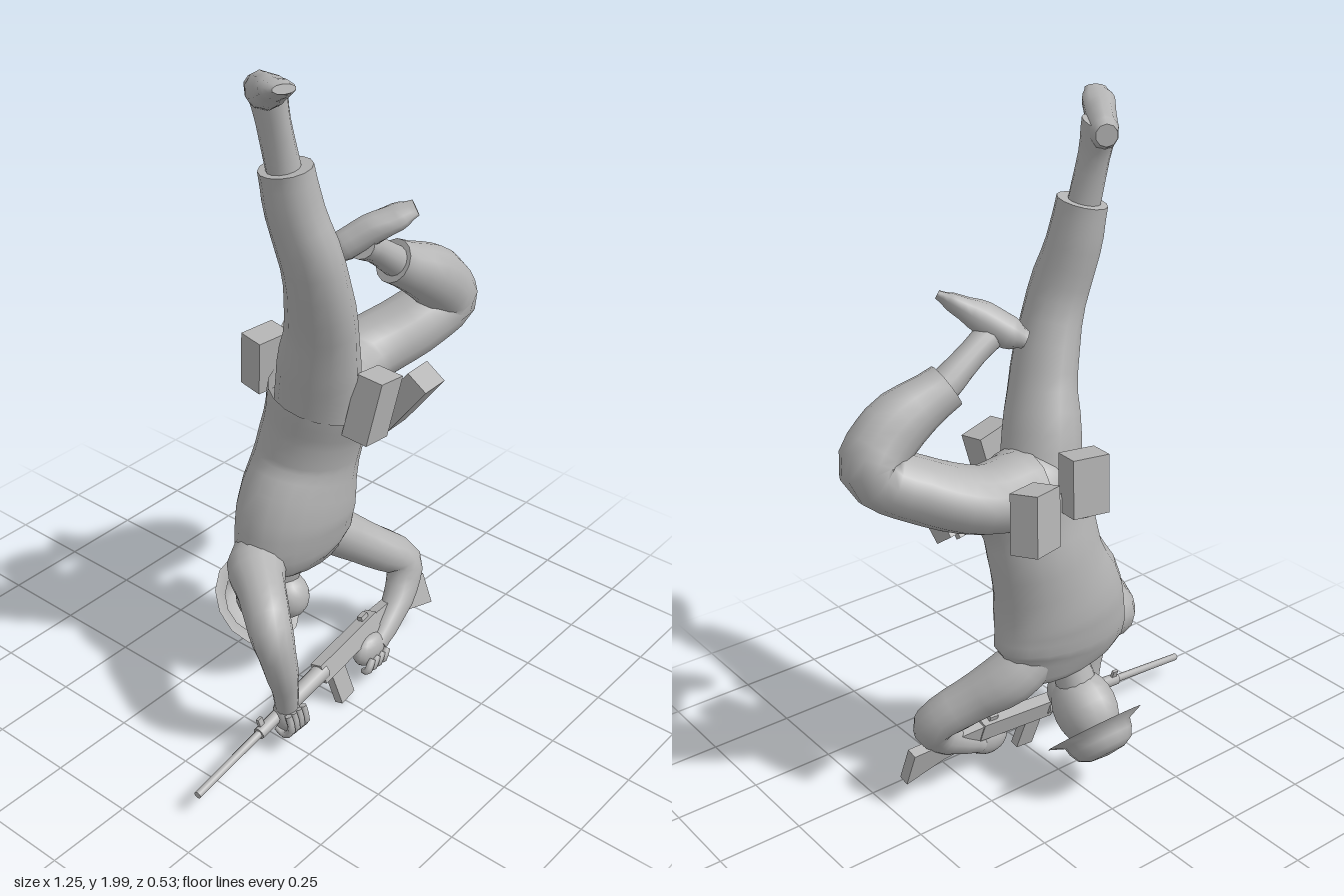
import * as THREE from 'three';

const grey = new THREE.MeshStandardMaterial({ color: 0xb4b4b4 });
grey.name = 'plain grey';
const shell = new THREE.MeshStandardMaterial({ color: 0xb4b4b4, side: THREE.DoubleSide });
shell.name = 'plain grey shell';
const V = (x, y, z) => new THREE.Vector3(x, y, z);

function add(parent, name, geometry, material = grey) {
  const mesh = new THREE.Mesh(geometry, material);
  mesh.name = name;
  parent.add(mesh);
  return mesh;
}

// Skin over elliptical sections [x, y, z, radius along ref, radius across]
function loft(sections, ref, { sides = 14, steps = 3, caps = [true, true] } = {}) {
  const curve = new THREE.CatmullRomCurve3(sections.map(s => V(s[0], s[1], s[2])), false, 'centripetal');
  const rings = (sections.length - 1) * steps;
  const pos = [], index = [];
  for (let i = 0; i <= rings; i++) {
    const t = i / rings, f = t * (sections.length - 1);
    const k = Math.min(Math.floor(f), sections.length - 2), w = f - k;
    const s = w * w * (3 - 2 * w);
    const radius = n => {
      const get = q => q[n] ?? q[3];
      return THREE.MathUtils.lerp(get(sections[k]), get(sections[k + 1]), s);
    };
    const c = curve.getPoint(t), T = curve.getTangent(t);
    const U = ref.clone().addScaledVector(T, -ref.dot(T)).normalize();
    const W = T.clone().cross(U);
    for (let j = 0; j < sides; j++) {
      const a = j / sides * Math.PI * 2;
      const p = c.clone().addScaledVector(U, Math.cos(a) * radius(3)).addScaledVector(W, Math.sin(a) * radius(4));
      pos.push(p.x, p.y, p.z);
    }
  }
  for (let i = 0; i < rings; i++) for (let j = 0; j < sides; j++) {
    const a = i * sides + j, b = i * sides + (j + 1) % sides;
    index.push(a, b, b + sides, a, b + sides, a + sides);
  }
  // Caps use their own vertices so the cut ends stay sharp
  caps.forEach((on, end) => {
    if (!on) return;
    const from = end ? rings * sides : 0, base = pos.length / 3;
    for (let j = 0; j < sides * 3; j++) pos.push(pos[from * 3 + j]);
    for (let j = 1; j < sides - 1; j++) {
      index.push(base, base + (end ? j : j + 1), base + (end ? j + 1 : j));
    }
  });
  const g = new THREE.BufferGeometry();
  g.setAttribute('position', new THREE.Float32BufferAttribute(pos, 3));
  g.setIndex(index);
  g.computeVertexNormals();
  return g;
}

function box(parent, name, size, at, rot = [0, 0, 0]) {
  const m = add(parent, name, new THREE.BoxGeometry(...size));
  m.position.set(...at);
  m.rotation.set(...rot);
  return m;
}

function ball(parent, name, at, scale) {
  const m = add(parent, name, new THREE.SphereGeometry(1, 16, 12));
  m.position.set(...at);
  m.scale.set(...scale);
  return m;
}

function rod(parent, name, r1, r2, from, to, sides = 10) {
  const a = V(...from), b = V(...to), d = b.clone().sub(a);
  const m = add(parent, name, new THREE.CylinderGeometry(r2, r1, d.length(), sides));
  m.position.copy(a).add(b).multiplyScalar(0.5);
  m.quaternion.setFromUnitVectors(V(0, 1, 0), d.normalize());
}

function buildBody(g) {
  const X = V(1, 0, 0), Z = V(0, 0, 1);
  // Shirt, open at the hem
  add(g, 'shirt', loft([
    [0.02, 0.4, -0.04, 0.08, 0.05], [0.025, 0.44, -0.04, 0.18, 0.1],
    [0.02, 0.52, -0.035, 0.215, 0.135], [0.025, 0.62, -0.03, 0.205, 0.15],
    [0.065, 0.77, -0.025, 0.168, 0.142], [0.075, 0.87, -0.005, 0.165, 0.142],
    [0.09, 0.97, 0.02, 0.185, 0.155]], X, { sides: 20, caps: [true, false] }), shell);
  ball(g, 'hips', [0.095, 0.96, 0.02], [0.155, 0.13, 0.13]);

  // Raised right leg
  add(g, 'rightTrouserLeg', loft([
    [0.04, 0.96, 0.03, 0.12, 0.12], [0.01, 1.1, 0.06, 0.108, 0.12],
    [-0.03, 1.26, 0.1, 0.088, 0.105], [-0.09, 1.45, 0.12, 0.077, 0.09],
    [-0.125, 1.6, 0.09, 0.073, 0.08], [-0.143, 1.72, 0.075, 0.066, 0.075]], X));
  add(g, 'rightAnkle', loft([
    [-0.145, 1.7, 0.075, 0.045], [-0.165, 1.84, 0.055, 0.035, 0.05],
    [-0.168, 1.93, 0.035, 0.038, 0.06]], X));
  add(g, 'rightFoot', loft([
    [-0.145, 1.91, -0.02, 0.03, 0.03], [-0.165, 1.91, 0.015, 0.048, 0.04],
    [-0.205, 1.93, 0.075, 0.045, 0.042], [-0.25, 1.96, 0.14, 0.027, 0.046],
    [-0.28, 1.98, 0.19, 0.012, 0.03]], V(0, 1, 0), { sides: 10 }));

  // Bent left leg
  add(g, 'leftTrouserLeg', loft([
    [0.12, 0.98, 0, 0.115, 0.11], [0.28, 1.0, -0.01, 0.11, 0.092],
    [0.43, 1.055, 0.05, 0.105, 0.09], [0.535, 1.125, 0.1, 0.095, 0.085],
    [0.465, 1.215, 0.105, 0.085, 0.088], [0.31, 1.308, 0.075, 0.062, 0.064]], Z, { steps: 4 }));
  add(g, 'leftAnkle', loft([
    [0.33, 1.295, 0.08, 0.045], [0.22, 1.375, 0.08, 0.038], [0.14, 1.42, 0.09, 0.045, 0.04]], Z));
  add(g, 'leftFoot', loft([
    [0.085, 1.395, 0.03, 0.025, 0.03], [0.12, 1.415, 0.055, 0.045, 0.042],
    [0.17, 1.455, 0.1, 0.045, 0.044], [0.22, 1.49, 0.15, 0.028, 0.045],
    [0.255, 1.515, 0.185, 0.012, 0.028]], V(-0.6, 0.8, 0), { sides: 10 }));

  // Arms
  add(g, 'rightArm', loft([
    [-0.08, 0.53, -0.05, 0.07, 0.07], [-0.17, 0.5, -0.015, 0.085, 0.08],
    [-0.25, 0.48, 0.08, 0.068], [-0.305, 0.435, 0.155, 0.062],
    [-0.295, 0.32, 0.18, 0.05], [-0.265, 0.2, 0.175, 0.037], [-0.25, 0.13, 0.165, 0.033]],
  V(1, 0, 1)));
  add(g, 'leftArm', loft([
    [0.1, 0.5, -0.06, 0.07, 0.07], [0.19, 0.43, -0.03, 0.085, 0.075],
    [0.29, 0.35, 0.04, 0.067], [0.375, 0.275, 0.1, 0.06],
    [0.34, 0.205, 0.125, 0.05], [0.25, 0.14, 0.145, 0.04], [0.18, 0.1, 0.155, 0.033]], Z));

  // Hands with fingers wrapped round the rifle
  ball(g, 'rightPalm', [-0.25, 0.11, 0.165], [0.04, 0.055, 0.042]);
  ball(g, 'leftPalm', [0.145, 0.1, 0.155], [0.065, 0.05, 0.035]);
  for (let i = 0; i < 4; i++) {
    const x = -0.283 + i * 0.021, lx = 0.095 + i * 0.024;
    add(g, 'rightFinger', loft([[x, 0.14, 0.2, 0.011], [x, 0.095, 0.212, 0.012],
      [x, 0.065, 0.185, 0.011], [x, 0.075, 0.155, 0.009]], X, { sides: 6, steps: 2 }));
    add(g, 'leftFinger', loft([[lx + 0.025, 0.09, 0.185, 0.012], [lx, 0.065, 0.192, 0.012],
      [lx + 0.005, 0.05, 0.17, 0.01]], X, { sides: 6, steps: 2 }));
  }
}

function buildHead(g) {
  add(g, 'neck', loft([[0.01, 0.5, -0.045, 0.065], [0, 0.42, -0.05, 0.055],
    [-0.01, 0.33, -0.08, 0.06]], V(1, 0, 0)));
  const head = new THREE.Group();
  head.name = 'headAndHelmet';
  head.position.set(-0.014, 0.225, -0.155);
  head.quaternion.setFromUnitVectors(V(0, 1, 0), V(0, -0.72, -0.69).normalize());
  g.add(head);
  ball(head, 'skull', [0, -0.07, 0], [0.092, 0.12, 0.1]);
  // Local -z of the head points up and to the front
  const side = V(0, 0.69, -0.72).applyQuaternion(head.quaternion.clone().invert()).normalize();
  const face = side.multiplyScalar(-0.03);
  ball(head, 'jaw', [0, -0.135 + face.y, face.z], [0.068, 0.07, 0.075]);
  const profile = [[0.15, -0.006], [0.105, 0.012], [0.1, 0.035], [0.085, 0.062], [0.055, 0.077], [0, 0.082]];
  add(head, 'helmet', new THREE.LatheGeometry(profile.map(p => new THREE.Vector2(...p)), 14), shell);
}

function buildRifle(g) {
  const rifle = new THREE.Group();
  rifle.name = 'rifle';
  const x = V(1, 0.11, -0.054).normalize();
  const z = x.clone().cross(V(0, 0.96, -0.27)).normalize();
  rifle.quaternion.setFromRotationMatrix(new THREE.Matrix4().makeBasis(x, z.clone().cross(x), z));
  rifle.position.set(0, 0.144, 0.138);
  g.add(rifle);
  rod(rifle, 'barrel', 0.011, 0.012, [-0.634, 0, 0], [-0.3, 0, 0]);
  rod(rifle, 'gasBlock', 0.018, 0.02, [-0.365, 0, 0], [-0.24, 0, 0]);
  rod(rifle, 'handguard', 0.025, 0.028, [-0.25, 0, 0], [-0.06, 0, 0]);
  box(rifle, 'frontSight', [0.018, 0.035, 0.01], [-0.345, 0.022, 0]);
  box(rifle, 'receiver', [0.28, 0.062, 0.04], [0.06, 0, 0]);
  box(rifle, 'rearSight', [0.03, 0.018, 0.018], [0.16, 0.036, 0]);
  box(rifle, 'magazine', [0.062, 0.115, 0.028], [-0.012, -0.077, 0], [0, 0, 0.03]);
  box(rifle, 'grip', [0.035, 0.09, 0.028], [0.13, -0.06, 0], [0, 0, 0.35]);
  const stock = new THREE.Shape([[0.19, 0.025], [0.19, -0.03], [0.33, -0.055], [0.45, -0.105], [0.45, 0.004]]
    .map(p => new THREE.Vector2(...p)));
  const sg = new THREE.ExtrudeGeometry(stock, { depth: 0.034, bevelEnabled: false });
  add(rifle, 'stock', sg.translate(0, 0, -0.017));
}

function buildPouches(g) {
  // [centre, rotation, size]
  const pouches = [
    [[0.075, 0.995, 0.195], [0.12, 0.1, -0.22], [0.115, 0.185, 0.08]],
    [[0.275, 0.925, 0.165], [0.62, 0.05, -0.15], [0.11, 0.19, 0.075]],
    [[0.04, 1.035, -0.16], [0.08, -0.15, 0.05], [0.11, 0.165, 0.08]],
    [[0.235, 1.0, -0.2], [0.1, 0.42, 0.12], [0.125, 0.165, 0.08]]];
  for (const [at, rot, size] of pouches) {
    const p = new THREE.Group();
    p.name = 'beltPouch';
    p.position.set(...at);
    p.rotation.set(...rot);
    box(p, 'pouchBody', size, [0, 0, 0]);
    box(p, 'pouchStrap', [0.02, 0.02, 0.02], [0, -size[1] / 2 - 0.005, 0]);
    g.add(p);
  }
}

export function createModel() {
  const model = new THREE.Group();
  model.name = 'upsideDownSoldier';
  buildBody(model);
  buildHead(model);
  buildRifle(model);
  buildPouches(model);
  return model;
}
